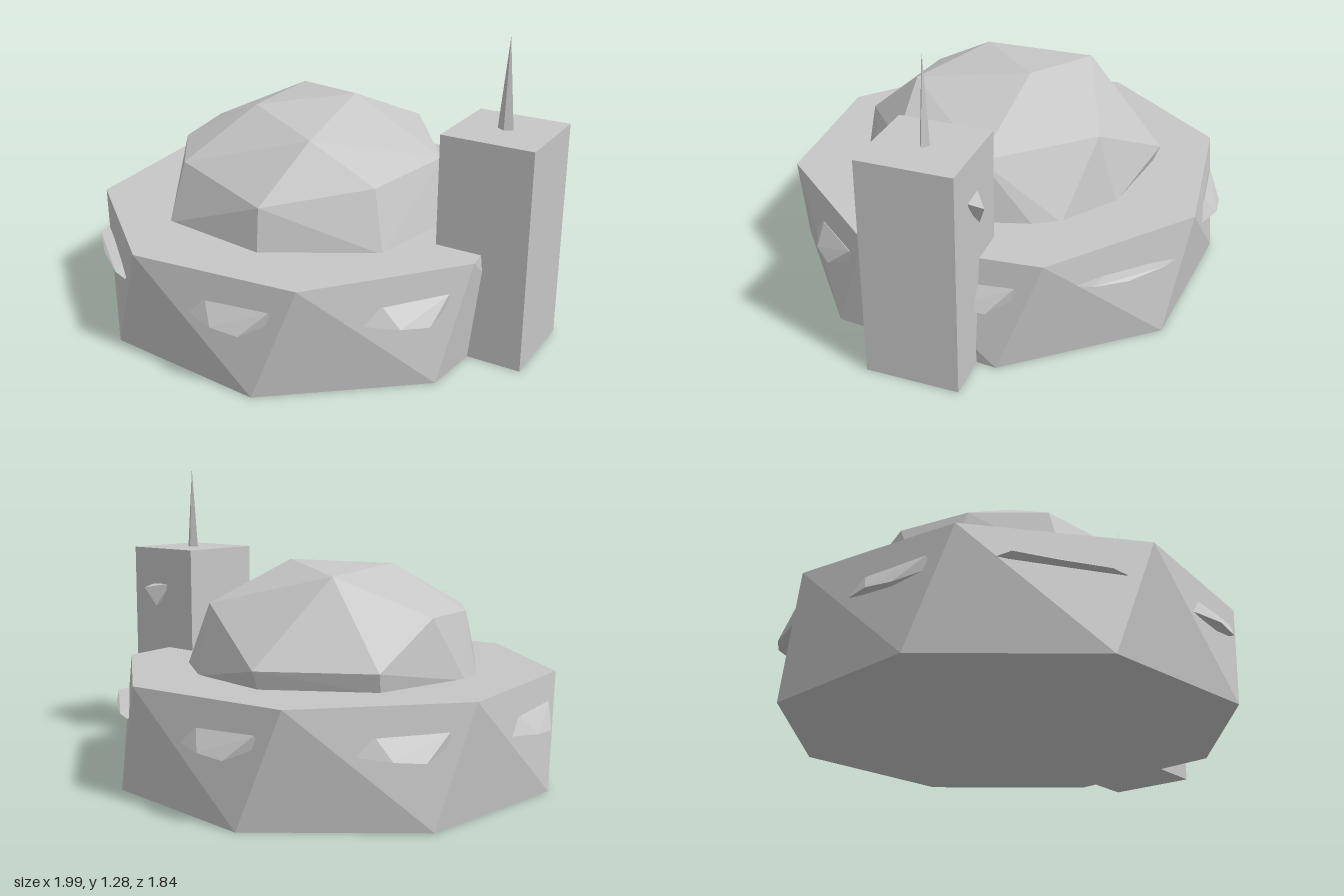
import * as THREE from 'three';
import { ConvexGeometry } from 'three/addons/geometries/ConvexGeometry.js';

const CENTRE_X = -0.065;

export function createModel() {
  const model = new THREE.Group();
  const stone = new THREE.MeshStandardMaterial({ color: 0xc6c6c6 });
  stone.name = 'paleStone';

  const add = (name, geometry, parent = model) => {
    const mesh = new THREE.Mesh(geometry, stone);
    mesh.name = name;
    parent.add(mesh);
    return mesh;
  };
  const hull = (points) => new ConvexGeometry(points.map((p) => new THREE.Vector3(...p)));

  // Eight-sided drum, its top ring turned a little against its base
  const ring = (y, offset) => Array.from({ length: 8 }, (_, k) => {
    const a = THREE.MathUtils.degToRad(offset + 45 * k);
    return [CENTRE_X + 0.926 * Math.cos(a), y, 0.926 * Math.sin(a)];
  });
  add('drum', hull([...ring(0, 28), ...ring(0.457, 17)]));

  // Faceted dome: crown, shoulders, then the edge where it meets the drum
  add('dome', hull([
    [-0.3, 0.865, -0.3], [0.06, 0.905, -0.14], [-0.25, 0.885, 0.16], [0.13, 0.845, 0.34],
    [-0.63, 0.71, -0.09], [-0.58, 0.705, 0.22], [-0.4, 0.695, 0.47], [0.05, 0.63, 0.59],
    [0.41, 0.69, 0.31], [0.5, 0.71, -0.09], [0.2, 0.74, -0.48],
    [-0.2, 0.53, -0.65], [-0.6, 0.53, -0.39],
    [-0.685, 0.45, 0.06], [-0.66, 0.45, 0.18], [-0.42, 0.45, 0.555], [0.06, 0.45, 0.62],
    [0.48, 0.45, 0.37], [0.56, 0.45, -0.03], [0.48, 0.45, -0.3], [0.42, 0.45, -0.4],
    [0.19, 0.45, -0.56], [-0.2, 0.45, -0.62], [-0.59, 0.45, -0.37],
  ]));

  // Shards on the drum walls, modelled on the front wall and turned round the axis
  const wide = hull([
    [-0.15, 0.29, 0.84], [0.06, 0.345, 0.87], [0.33, 0.355, 0.845], [0.34, 0.31, 0.83],
    [0.235, 0.26, 0.91], [0.115, 0.27, 0.92], [0.1, 0.3, 0.78],
  ]);
  const thin = hull([
    [-0.15, 0.335, 0.87], [-0.08, 0.34, 0.925], [0.27, 0.313, 0.885], [0.33, 0.305, 0.85],
    [0.08, 0.318, 0.92], [0.1, 0.335, 0.8],
  ]);
  const shards = new THREE.Group();
  shards.name = 'wallShards';
  shards.position.x = CENTRE_X;
  model.add(shards);
  for (let k = 0; k < 8; k++) {
    const isThin = k % 4 === 1;
    add(isThin ? 'thinShard' : 'wideShard', isThin ? thin : wide, shards).rotation.y = -k * Math.PI / 4;
  }

  // Square tower with a slim spire
  add('tower', new THREE.BoxGeometry(0.38, 0.915, 0.38)).position.set(0.81, 0.4575, 0);
  const spire = new THREE.ConeGeometry(1, 0.37, 4).toNonIndexed();
  spire.scale(0.033, 1, 0.02);
  spire.computeVertexNormals();
  add('spire', spire).position.set(0.807, 1.095, 0);

  // Small shard on the back of the tower
  add('towerShard', hull([
    [0.77, 0.755, -0.18], [0.88, 0.75, -0.18], [0.87, 0.735, -0.25],
    [0.83, 0.65, -0.215], [0.82, 0.67, -0.18],
  ]));

  return model;
}
